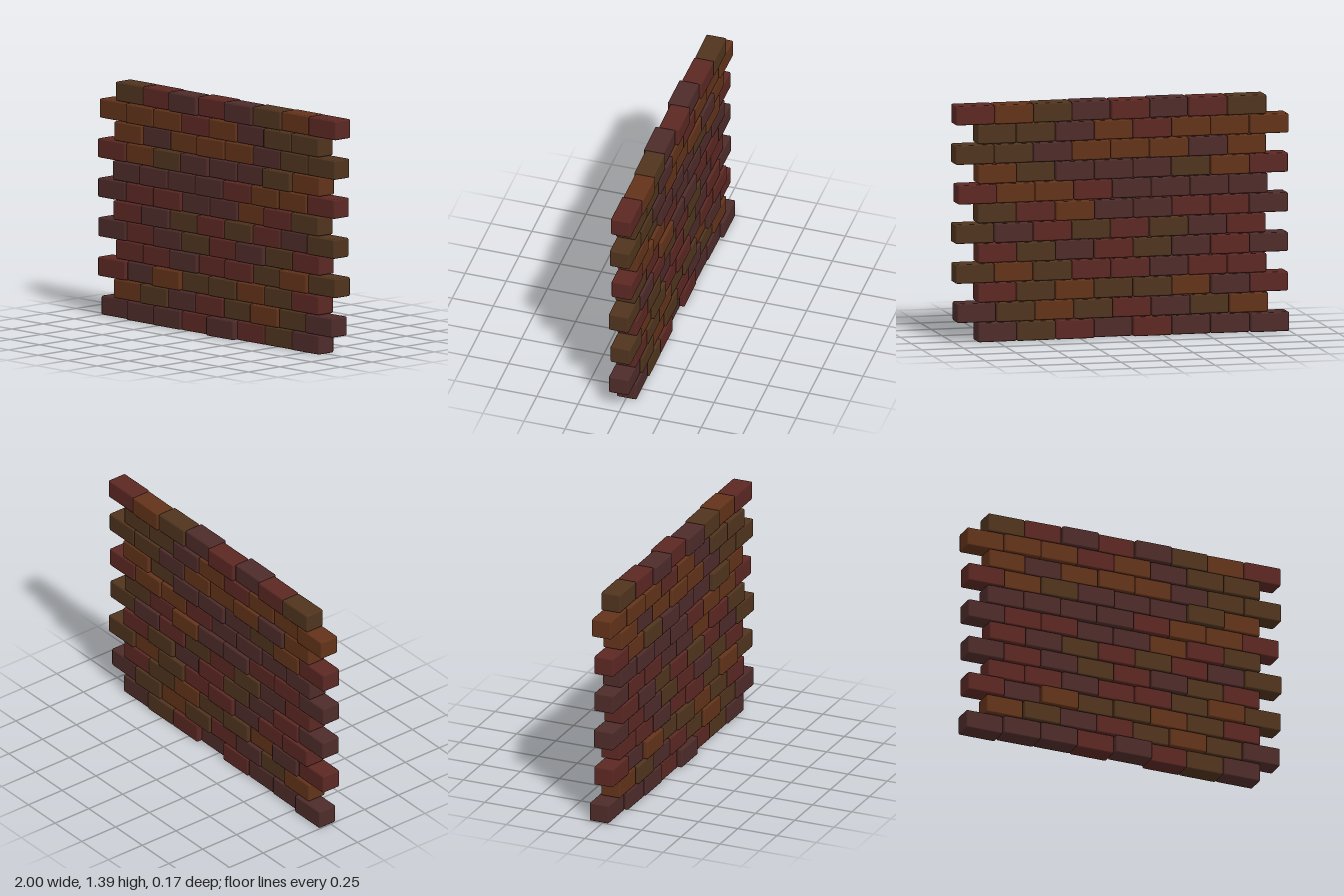
import * as THREE from 'three';
import { RoundedBoxGeometry } from 'three/addons/geometries/RoundedBoxGeometry.js';

// Courses from bottom to top; each letter is the clay colour of one brick.
const COURSES = [
  'PPPRPRBP', 'OBPRBOBP', 'RPOBBOBR', 'RRPRRBOB',
  'PRPBRPBR', 'RPBRBRPB', 'PRRPPORB', 'PPPPROOR',
  'ROBPPPBO', 'OPOOOPBB', 'OOOROPBB', 'BRPRPBOR',
];
const CLAY = { P: 0x4e2c2a, R: 0x5c2823, O: 0x63331a, B: 0x50341e };

const PITCH_X = 0.233, PITCH_Y = 0.1163, DEPTH = 0.122;

// Bricks that stand out clearly, keyed by course and position.
const PROUD = {
  '0,0': -0.023, '0,4': 0.023, '2,2': 0.016, '6,5': -0.013, '8,6': 0.016,
  '11,0': -0.01, '11,1': -0.006, '11,2': 0.01, '11,3': -0.01,
  '11,4': 0.009, '11,5': -0.004, '11,6': -0.014, '11,7': -0.008,
};

function seeded(seed) {
  return () => {
    seed = (seed * 16807) % 2147483647;
    return seed / 2147483647;
  };
}

export function createModel() {
  const wall = new THREE.Group();
  wall.name = 'brickWall';
  const random = seeded(4217);

  // One bevelled brick shared by the whole wall
  const brickGeometry = new RoundedBoxGeometry(PITCH_X - 0.002, PITCH_Y - 0.003, DEPTH, 1, 0.009);
  const materials = {};
  for (const key in CLAY) materials[key] = new THREE.MeshStandardMaterial({ color: CLAY[key] });

  COURSES.forEach((colours, row) => {
    const course = new THREE.Group();
    course.name = `course${row + 1}`;
    // Running bond: every second course is shifted by about half a brick
    const shift = row % 2 === 0 ? 0 : row === 1 || row === 7 ? 0.122 : 0.134;
    course.position.set(-1 + shift, PITCH_Y * (row + 0.5), 0);

    [...colours].forEach((colour, i) => {
      const brick = new THREE.Mesh(brickGeometry, materials[colour]);
      brick.name = `brick${i + 1}`;
      const jitter = (random() - 0.5) * 0.022;
      brick.position.set(PITCH_X * (i + 0.5), 0, PROUD[`${row},${i}`] ?? jitter);
      brick.rotation.y = (random() - 0.5) * 0.02;
      course.add(brick);
    });
    wall.add(course);
  });
  return wall;
}
